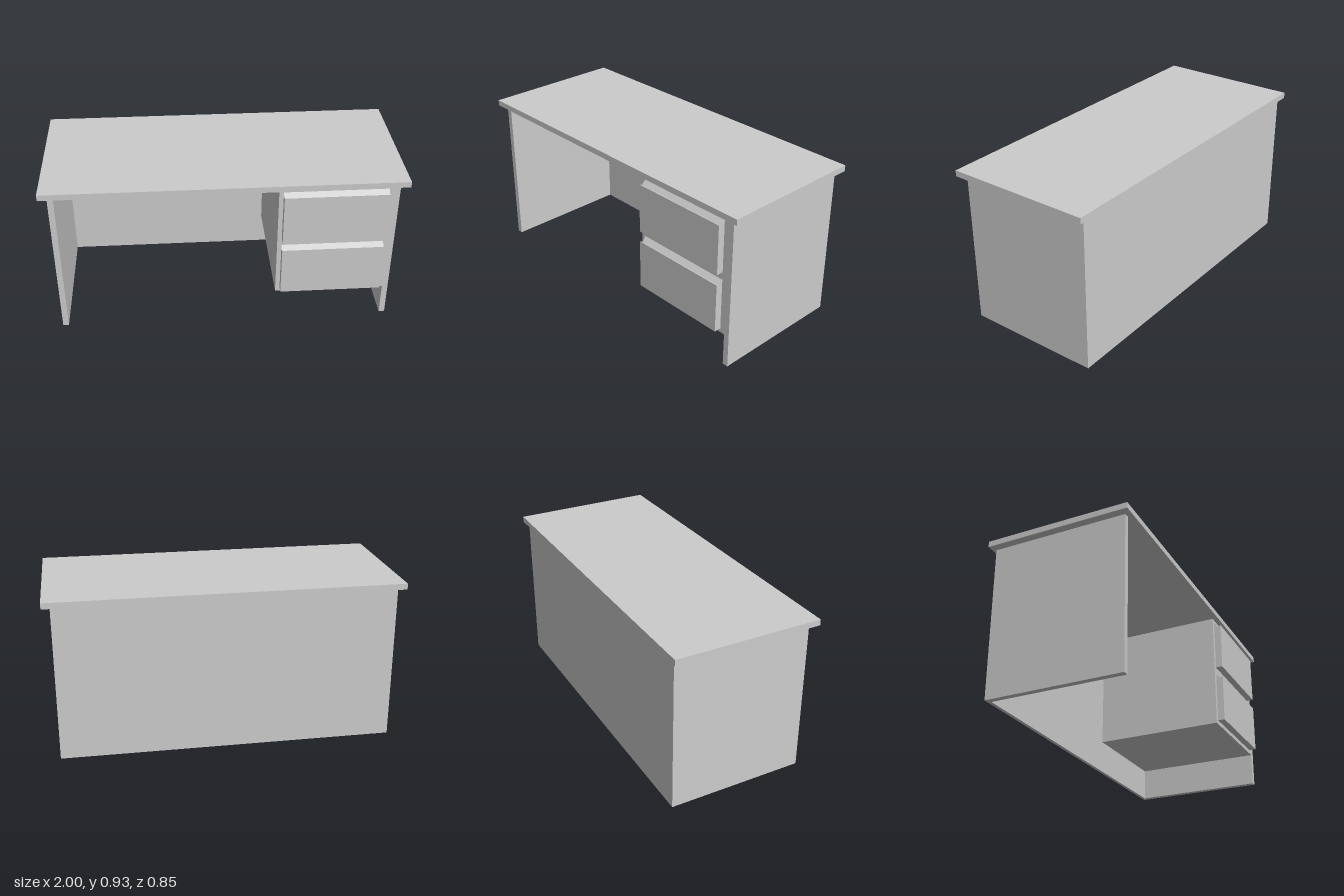
import * as THREE from 'three';

const material = new THREE.MeshStandardMaterial({ color: 0xcccccc, flatShading: true });

// Box given by its min and max corners
function panel(name, [x0, y0, z0], [x1, y1, z1]) {
  const geometry = new THREE.BoxGeometry(x1 - x0, y1 - y0, z1 - z0);
  geometry.translate((x0 + x1) / 2, (y0 + y1) / 2, (z0 + z1) / 2);
  const mesh = new THREE.Mesh(geometry, material);
  mesh.name = name;
  return mesh;
}

// Drawer front with a finger groove along its top edge, extruded along x
function drawerFront(name, y) {
  const back = 0.386, front = 0.427, x0 = 0.315, x1 = 0.893;
  // Profile drawn as (-z, y) so that a quarter turn about y maps it to z
  const shape = new THREE.Shape([
    [back, 0], [front, 0], [front, 0.288], [0.408, 0.279], [back, 0.305],
  ].map(([z, h]) => new THREE.Vector2(-z, h)));
  const geometry = new THREE.ExtrudeGeometry(shape, { depth: x1 - x0, bevelEnabled: false });
  geometry.rotateY(Math.PI / 2);
  geometry.translate(x0, y, 0);
  const mesh = new THREE.Mesh(geometry, material);
  mesh.name = name;
  return mesh;
}

export function createModel() {
  const desk = new THREE.Group();
  desk.name = 'desk';
  const back = -0.403, front = 0.386, underTop = 0.897;

  // Overhanging worktop
  desk.add(panel('worktop', [-1, underTop, -0.424], [1, 0.931, 0.419]));

  // Side panels standing on the floor
  desk.add(panel('rightSidePanel', [-0.954, 0, back], [-0.921, underTop, front]));
  desk.add(panel('leftSidePanel', [0.921, 0, back], [0.954, underTop, front]));

  // Full-height back panel between the sides
  desk.add(panel('backPanel', [-0.921, 0, back], [0.921, underTop, back + 0.02]));

  // Raised drawer cabinet
  desk.add(panel('drawerCabinet', [0.29, 0.193, back + 0.02], [0.921, underTop, front]));

  // Two drawer fronts
  desk.add(drawerFront('lowerDrawerFront', 0.217));
  desk.add(drawerFront('upperDrawerFront', 0.568));

  return desk;
}
